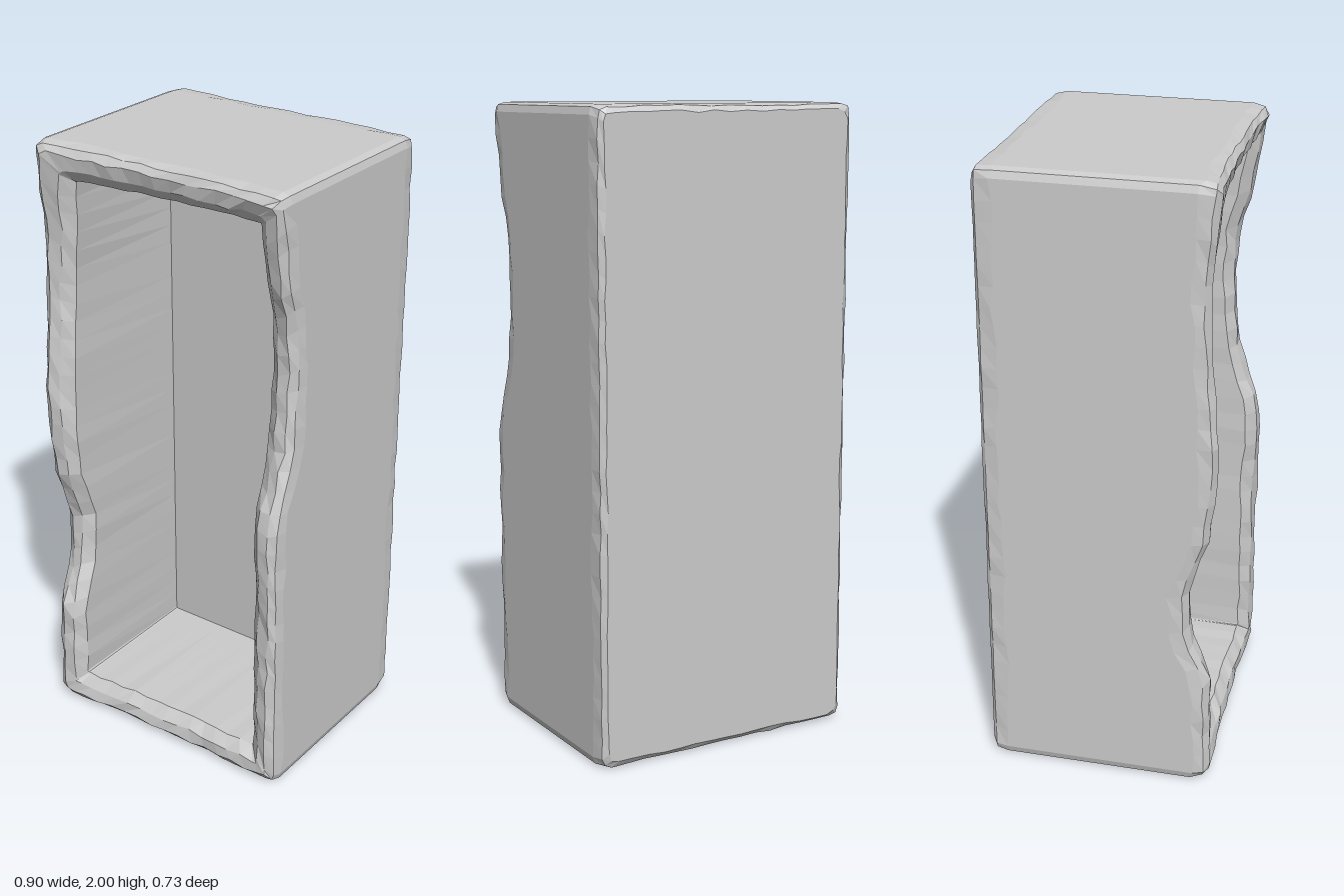
import * as THREE from 'three';

const HALF_W = 0.449, HEIGHT = 2, CORNER = 0.03;
const LONG = 30, SHORT = 14; // segments along the tall and short edges

// Depth of the worn front rim at heights [y, z], for each side wall
const RIGHT_RIM = [[0, 0.35], [0.92, 0.357], [1.0, 0.34], [1.1, 0.3], [1.2, 0.272], [1.4, 0.255],
  [1.6, 0.265], [1.7, 0.3], [1.88, 0.33], [2, 0.355]];
const LEFT_RIM = [[0, 0.36], [0.38, 0.355], [0.53, 0.285], [0.7, 0.28], [0.86, 0.34], [1.05, 0.367],
  [1.2, 0.368], [1.6, 0.337], [1.8, 0.345], [2, 0.362]];

function sample(profile, y) {
  for (let i = 1; i < profile.length; i++) {
    const [y0, z0] = profile[i - 1], [y1, z1] = profile[i];
    if (y <= y1) return THREE.MathUtils.lerp(z0, z1, Math.max(0, (y - y0) / (y1 - y0)));
  }
  return profile[profile.length - 1][1];
}

function rimDepth(x, y) {
  const u = THREE.MathUtils.clamp(x / HALF_W, -1, 1);
  const side = THREE.MathUtils.lerp(sample(LEFT_RIM, y), sample(RIGHT_RIM, y), (u + 1) / 2);
  return side - 0.012 * (1 - u * u);
}

let seed = 7;
function jitter(amount) {
  seed = (seed * 16807) % 2147483647;
  return (seed / 2147483647 * 2 - 1) * amount;
}

// Counter-clockwise rectangle with softened corners, inset from the outer faces
function rectangleLoop(inset, r) {
  const w = HALF_W - inset, b = inset, t = HEIGHT - inset;
  const corners = [[w, b, -1, 0], [w, t, 0, -1], [-w, t, 1, 0], [-w, b, 0, 1]];
  const points = [];
  corners.forEach(([x, y, dx, dy], i) => {
    const [nx, ny, ndx, ndy] = corners[(i + 1) % 4];
    // Three corner points, then the straight edge to the next corner
    const sx = x + dx * r, sy = y + dy * r;
    const ex = x - ndx * r, ey = y - ndy * r;
    points.push([sx, sy], [(sx + ex) / 2 * 0.5 + x * 0.5, (sy + ey) / 2 * 0.5 + y * 0.5]);
    const n = i % 2 === 0 ? LONG : SHORT;
    const fx = nx + ndx * r, fy = ny + ndy * r;
    for (let k = 0; k < n; k++) points.push([ex + (fx - ex) * k / n, ey + (fy - ey) * k / n]);
  });
  return points;
}

// Cross-sections from the back panel, over the rim, to the inside back
const SECTIONS = [
  { inset: 0.022, r: CORNER, z: -0.363, wear: 0.004 },
  { inset: 0.006, r: CORNER, z: -0.35, wear: 0.003 },
  { inset: 0, r: CORNER, z: -0.305, wearZ: 0.01 },
  { inset: 0, r: CORNER, rim: -0.055, wearZ: 0.01 },
  { inset: 0.008, r: CORNER, rim: -0.018, wear: 0.003, wearZ: 0.004 },
  { inset: 0.03, r: 0.03, rim: 0, wear: 0.006, wearZ: 0.004 },
  { inset: 0.068, r: 0.02, rim: -0.004, wear: 0.006, wearZ: 0.004, slump: 0.8 },
  { inset: 0.102, r: 0.006, rim: -0.035, wear: 0.002, wearZ: 0.005, slump: 1 },
  { inset: 0.104, r: 0.006, z: -0.18 },
];

function sectionLoop({ inset, r, z, rim, wear = 0, wearZ = 0, slump = 0 }) {
  return rectangleLoop(inset, r).map(([px, py]) => {
    const depth = z === undefined ? rimDepth(px, py) + rim : z;
    let x = px + jitter(wear), y = py + jitter(wear);
    // The opening leans inward near its upper corner on one side
    if (slump && px < 0 && py > 1.55) x += slump * 0.04 * (py - 1.55) / 0.34 * (-px / HALF_W);
    if (slump && py > 1.85) y -= slump * 0.012 * (0.5 - px / HALF_W / 2);
    return [x, Math.min(HEIGHT, Math.max(0, y)), depth + jitter(wearZ)];
  });
}

function shellGeometry() {
  const loops = SECTIONS.map(sectionLoop);
  const n = loops[0].length, position = [];
  const tri = (...corners) => corners.forEach((c) => position.push(...c));
  const backCentre = [0, HEIGHT / 2, SECTIONS[0].z];
  const insideCentre = [0, HEIGHT / 2, SECTIONS[SECTIONS.length - 1].z];
  const last = loops[loops.length - 1];
  for (let i = 0; i < n; i++) {
    const j = (i + 1) % n;
    tri(backCentre, loops[0][j], loops[0][i]);
    for (let k = 0; k < loops.length - 1; k++) {
      const a = loops[k], b = loops[k + 1];
      tri(a[i], a[j], b[j]);
      tri(a[i], b[j], b[i]);
    }
    tri(insideCentre, last[i], last[j]);
  }
  const geometry = new THREE.BufferGeometry();
  geometry.setAttribute('position', new THREE.Float32BufferAttribute(position, 3));
  geometry.computeVertexNormals();
  return geometry;
}

export function createModel() {
  seed = 7;
  const model = new THREE.Group();
  model.name = 'wornOpenBox';
  const stone = new THREE.MeshStandardMaterial({ color: 0xcccccc, flatShading: true });
  const shell = new THREE.Mesh(shellGeometry(), stone);
  shell.name = 'boxShell';
  model.add(shell);
  return model;
}
